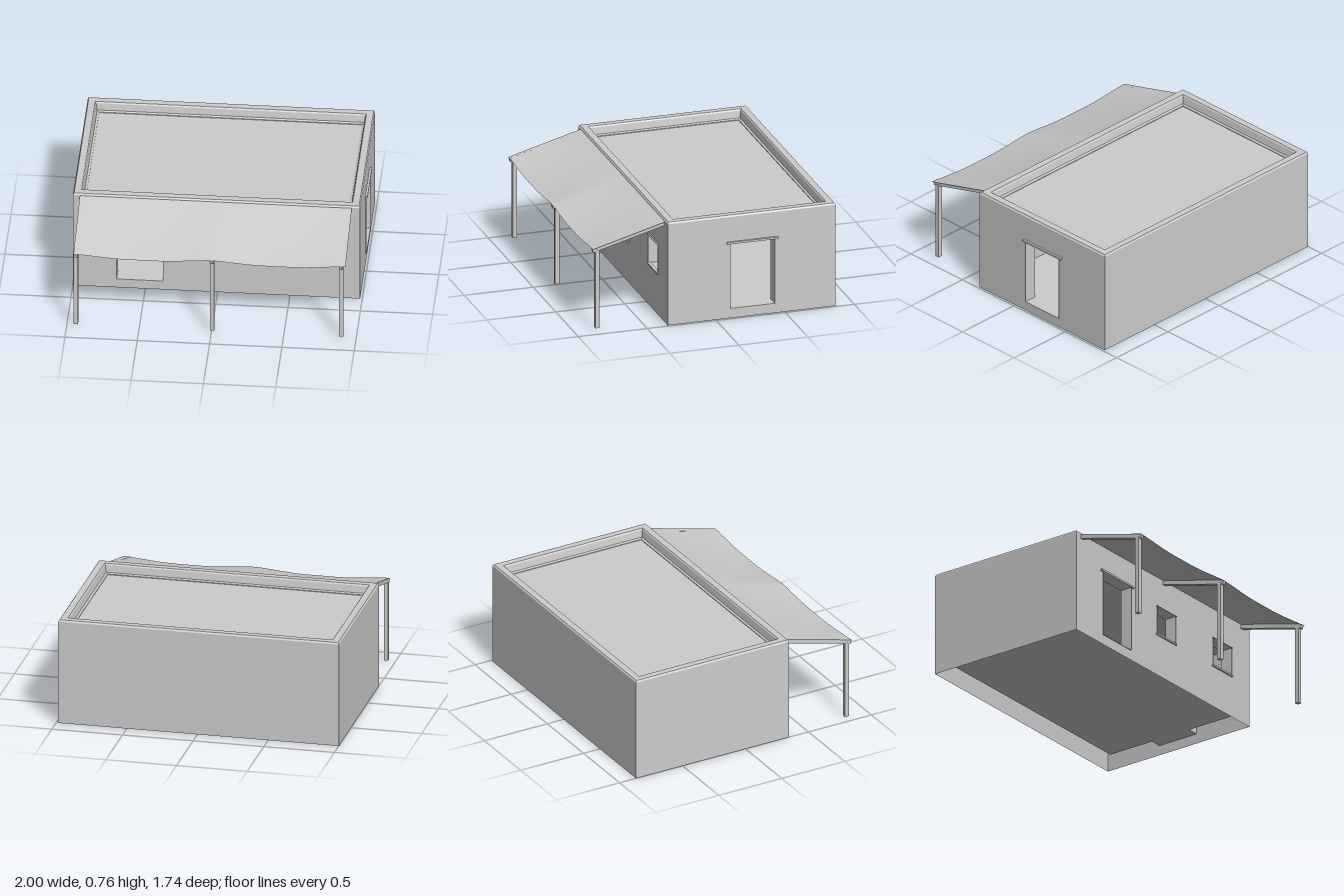
import * as THREE from 'three';

const material = new THREE.MeshStandardMaterial({ color: 0xcccccc, side: THREE.DoubleSide, flatShading: true });
const softMaterial = new THREE.MeshStandardMaterial({ color: 0xcccccc, side: THREE.DoubleSide });

// House footprint and levels
const X0 = -1, X1 = 0.985, Z0 = -0.87, Z1 = 0.347;
const CX = (X0 + X1) / 2, CZ = (Z0 + Z1) / 2, W = X1 - X0, D = Z1 - Z0;
const WALL = 0.085, FLOOR = 0.073, CEILING = 0.58, TOP = 0.745, ROOF = 0.685;

function add(parent, name, geometry, x = 0, y = 0, z = 0, mat = material) {
  const mesh = new THREE.Mesh(geometry, mat);
  mesh.name = name;
  mesh.position.set(x, y, z);
  parent.add(mesh);
  return mesh;
}

const box = (w, h, d) => new THREE.BoxGeometry(w, h, d);

// Flat panel with rectangular holes, each hole being [x0, x1, y0, y1]
function panel(x0, x1, y0, y1, holes) {
  const rect = (Type, a, b, c, d) => {
    const p = new Type();
    p.moveTo(a, c).lineTo(b, c).lineTo(b, d).lineTo(a, d).closePath();
    return p;
  };
  const shape = rect(THREE.Shape, x0, x1, y0, y1);
  shape.holes = holes.map((h) => rect(THREE.Path, ...h));
  return new THREE.ShapeGeometry(shape);
}

// Strip of rectangular rings; the profile holds [inset, height] pairs
function rectangularRings(profile) {
  const ring = ([i, y]) => [[X0 + i, y, Z1 - i], [X1 - i, y, Z1 - i], [X1 - i, y, Z0 + i], [X0 + i, y, Z0 + i]];
  const positions = [];
  for (let k = 0; k < profile.length - 1; k++) {
    const a = ring(profile[k]), b = ring(profile[k + 1]);
    for (let s = 0; s < 4; s++) {
      const t = (s + 1) % 4;
      positions.push(...a[s], ...a[t], ...b[t], ...a[s], ...b[t], ...b[s]);
    }
  }
  const geometry = new THREE.BufferGeometry();
  geometry.setAttribute('position', new THREE.Float32BufferAttribute(positions, 3));
  geometry.computeVertexNormals();
  return geometry;
}

// Wall of an outer skin, an inner skin and the linings of its openings
function wall(parent, name, length, x, z, turn, openings) {
  const g = new THREE.Group();
  g.name = name;
  g.position.set(x, 0, z);
  g.rotation.y = turn;
  parent.add(g);
  const half = length / 2;
  const holes = openings.map((o) => o.rect);
  add(g, 'outerSkin', panel(-half, half, 0, TOP, holes));
  add(g, 'innerSkin', panel(-half + WALL, half - WALL, FLOOR, CEILING, holes), 0, 0, -WALL);

  for (const { rect: [a, b, c, d], door } of openings) {
    const lip = 0.006, depth = WALL + lip, mid = (lip - WALL) / 2;
    const w = b - a, h = d - c, cx = (a + b) / 2, cy = (c + d) / 2;
    for (const px of [a, b]) add(g, 'jamb', new THREE.PlaneGeometry(depth, h).rotateY(Math.PI / 2), px, cy, mid);
    for (const py of [c, d]) add(g, 'reveal', new THREE.PlaneGeometry(w, depth).rotateX(-Math.PI / 2), cx, py, mid);
    if (door) {
      add(g, 'doorLintel', box(w + 0.05, 0.014, 0.03), cx, d + 0.006, 0);
    } else {
      add(g, 'windowSill', box(w + 0.016, 0.012, 0.024), cx, c - 0.002, 0);
      add(g, 'windowHead', box(w + 0.016, 0.004, 0.02), cx, d, 0);
    }
  }
}

// Awning height: a straight slope with a sag between the posts that grows outwards
const POSTS = [-0.938, 0.004, 0.897];
const AWN_X0 = -0.95, AWN_X1 = 0.928, AWN_Z1 = 0.868;
function awningHeight(x, t) {
  const [a, b] = x < 0 ? [AWN_X0, 0] : [0, AWN_X1];
  const u = (x - a) / (b - a);
  const sag = 0.028 * THREE.MathUtils.smoothstep(Math.min(u, 1 - u), -0.1, 0.4)
    - 0.028 * THREE.MathUtils.smoothstep(0, -0.1, 0.4);
  return 0.742 - 0.142 * t - sag * Math.sin(t * Math.PI / 2);
}

function awningCloth() {
  const g = new THREE.PlaneGeometry(AWN_X1 - AWN_X0, AWN_Z1 - Z1, 48, 12).rotateX(-Math.PI / 2);
  g.translate((AWN_X0 + AWN_X1) / 2, 0, (Z1 + AWN_Z1) / 2);
  const p = g.attributes.position;
  for (let i = 0; i < p.count; i++) {
    const x = THREE.MathUtils.clamp(p.getX(i), AWN_X0, AWN_X1);
    p.setY(i, awningHeight(x, THREE.MathUtils.clamp((p.getZ(i) - Z1) / (AWN_Z1 - Z1), 0, 1)));
  }
  g.computeVertexNormals();
  return g;
}

export function createModel() {
  const model = new THREE.Group();
  model.name = 'house';

  // Walls with doors and windows
  wall(model, 'frontWall', W, CX, Z1, 0, [
    { rect: [-0.697 - CX, -0.377 - CX, FLOOR, 0.55], door: true },
    { rect: [-0.077 - CX, 0.133 - CX, 0.31, 0.52] },
    { rect: [0.565 - CX, 0.777 - CX, 0.31, 0.52] },
  ]);
  wall(model, 'leftWall', D, X1, CZ, Math.PI / 2, [
    { rect: [CZ + 0.107, CZ + 0.427, FLOOR, 0.55], door: true },
  ]);
  wall(model, 'backWall', W, CX, Z0, Math.PI, []);
  wall(model, 'rightWall', D, X0, CZ, -Math.PI / 2, []);

  // Room floor, ceiling and roof deck
  const slab = (inset) => new THREE.PlaneGeometry(W - 2 * inset, D - 2 * inset).rotateX(-Math.PI / 2);
  add(model, 'floor', slab(WALL), CX, FLOOR, CZ);
  add(model, 'ceiling', slab(WALL), CX, CEILING, CZ);
  add(model, 'roofDeck', slab(0.084), CX, ROOF, CZ);

  // Parapet coping and its inner face
  add(model, 'parapet', rectangularRings([
    [0, TOP], [0.008, 0.757], [0.055, 0.757], [0.062, 0.747], [0.07, 0.697], [0.084, 0.69], [0.084, ROOF],
  ]));

  // Awning cloth on rafters and posts
  add(model, 'awningCloth', awningCloth(), 0, 0, 0, softMaterial);
  const rise = 0.142, run = AWN_Z1 - Z1, slope = Math.atan2(rise, run);
  for (const x of POSTS) {
    add(model, 'post', box(0.03, 0.575, 0.03), x, 0.2975, 0.832);
    const rafter = add(model, 'rafter', box(0.028, 0.03, Math.hypot(rise, run) - 0.004), x, 0.654, (Z1 + AWN_Z1) / 2);
    rafter.rotation.x = slope;
  }
  return model;
}
